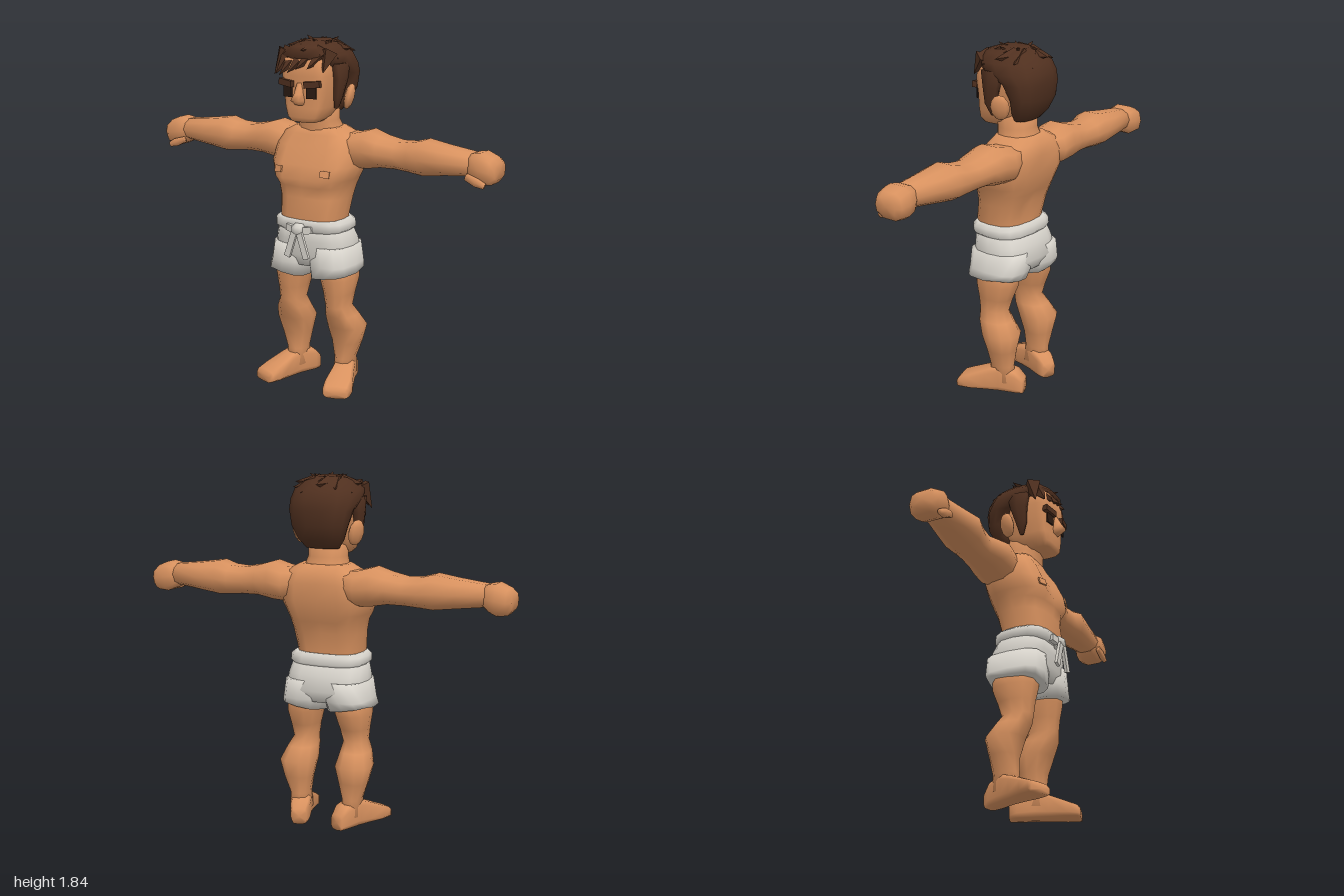
import * as THREE from 'three';

const mat = (name, color) => {
  const m = new THREE.MeshStandardMaterial({ color });
  m.name = name;
  return m;
};

// Closed loft of rounded-square rings. Each section is [t, c0, c1, s0, s1]:
// axis y: c = x range, s = z range; axis x: c = z, s = y; axis z: c = y, s = x
function loft(axis, sections, n = 12, e = 0.8) {
  const pos = [], idx = [];
  const put = (t, c, s) => pos.push(...(axis === 'y' ? [c, t, s] : axis === 'x' ? [t, s, c] : [s, c, t]));
  const pw = (v) => Math.sign(v) * Math.pow(Math.abs(v) < 1e-6 ? 0 : Math.abs(v), e);
  for (const [t, c0, c1, s0, s1] of sections)
    for (let j = 0; j < n; j++) {
      const a = (j / n) * Math.PI * 2;
      put(t, (c0 + c1) / 2 + ((c1 - c0) / 2) * pw(Math.cos(a)), (s0 + s1) / 2 + ((s1 - s0) / 2) * pw(Math.sin(a)));
    }
  const last = sections.length - 1;
  for (let i = 0; i < last; i++)
    for (let j = 0; j < n; j++) {
      const k = (j + 1) % n, a = i * n + j, b = i * n + k;
      idx.push(a, a + n, b, b, a + n, b + n);
    }
  for (const i of [0, last]) {
    const [t, c0, c1, s0, s1] = sections[i], m = pos.length / 3;
    put(t, (c0 + c1) / 2, (s0 + s1) / 2);
    for (let j = 0; j < n; j++) {
      const a = i * n + j, b = i * n + ((j + 1) % n);
      idx.push(...(i ? [a, m, b] : [a, b, m]));
    }
  }
  const g = new THREE.BufferGeometry();
  g.setAttribute('position', new THREE.Float32BufferAttribute(pos, 3));
  g.setIndex(idx);
  g.computeVertexNormals();
  return g;
}

// Move every vertex by a rule, then refresh the normals
function bend(g, rule) {
  const p = g.attributes.position, v = new THREE.Vector3();
  for (let i = 0; i < p.count; i++) {
    rule(v.fromBufferAttribute(p, i));
    p.setXYZ(i, v.x, v.y, v.z);
  }
  g.computeVertexNormals();
  return g;
}

const sym = (rows) => rows.map(([y, w, z0, z1]) => [y, -w, w, z0, z1]);

export function createModel() {
  const root = new THREE.Group();
  const skin = mat('skin', 0xd9925f), hair = mat('hair', 0x50301f);
  const cloth = mat('white cloth', 0xd8d4cc), dark = mat('dark eyes', 0x2a1a12);

  const add = (parent, name, g, m, p = [0, 0, 0], r = [0, 0, 0]) => {
    const mesh = new THREE.Mesh(g, m);
    mesh.name = name;
    mesh.position.set(...p);
    mesh.rotation.set(...r);
    parent.add(mesh);
    return mesh;
  };
  const box = (w, h, d) => new THREE.BoxGeometry(w, h, d);

  // Torso with a groove between the chest muscles
  const torso = loft('y', sym([
    [0.84, 0.17, -0.11, 0.14], [0.93, 0.175, -0.112, 0.16], [1.03, 0.188, -0.135, 0.142],
    [1.09, 0.2, -0.16, 0.15], [1.13, 0.218, -0.175, 0.174], [1.2, 0.245, -0.195, 0.155],
    [1.29, 0.235, -0.2, 0.112], [1.35, 0.2, -0.175, 0.07], [1.385, 0.13, -0.14, 0.055],
  ]), 16, 0.72);
  add(root, 'torso', bend(torso, (v) => {
    if (v.z > 0.05 && Math.abs(v.x) < 0.02 && v.y > 1.1 && v.y < 1.32) v.z -= 0.022;
    if (v.z < -0.1 && Math.abs(v.x) < 0.02 && v.y > 0.95 && v.y < 1.32) v.z += 0.02;
  }), skin);
  add(root, 'neck', loft('y', sym([
    [1.3, 0.15, -0.16, 0.06], [1.37, 0.115, -0.14, 0.062], [1.42, 0.098, -0.12, 0.07], [1.52, 0.095, -0.12, 0.08],
  ])), skin);

  // Head and face
  const head = new THREE.Group();
  head.name = 'head';
  root.add(head);
  add(head, 'skull', loft('y', sym([
    [1.425, 0.07, 0.03, 0.15], [1.45, 0.095, -0.02, 0.163], [1.5, 0.115, -0.09, 0.164],
    [1.58, 0.128, -0.13, 0.163], [1.66, 0.138, -0.15, 0.17], [1.74, 0.135, -0.14, 0.16], [1.78, 0.09, -0.1, 0.1],
  ]), 16, 0.5), skin);
  add(head, 'nose', loft('y', [
    [1.515, -0.024, 0.024, 0.13, 0.18], [1.54, -0.032, 0.032, 0.13, 0.22],
    [1.57, -0.022, 0.022, 0.13, 0.2], [1.625, -0.016, 0.016, 0.13, 0.172],
  ], 8), skin);
  for (const s of [1, -1]) {
    const side = s > 0 ? 'left' : 'right';
    add(head, side + 'Eye', box(0.052, 0.055, 0.008), dark, [s * 0.07, 1.578, 0.163], [0, s * 0.16, 0]);
    add(head, side + 'Brow', box(0.085, 0.032, 0.028), hair, [s * 0.077, 1.622, 0.165], [0, s * 0.2, s * 0.1]);
    const ear = add(head, side + 'Ear', new THREE.SphereGeometry(1, 8, 6), skin, [s * 0.163, 1.545, -0.045], [0, s * 0.45, s * -0.25]);
    ear.scale.set(0.026, 0.068, 0.05);
    add(head, side + 'Sideburn', loft('y', [
      [1.49, s * 0.13 - 0.012, s * 0.13 + 0.012, 0.015, 0.035], [1.55, s * 0.145 - 0.022, s * 0.145 + 0.022, 0, 0.06],
      [1.64, s * 0.152 - 0.03, s * 0.152 + 0.03, -0.03, 0.066], [1.72, s * 0.15 - 0.03, s * 0.15 + 0.03, -0.05, 0.08],
    ], 6), hair);
  }

  // Hair: rounded cap plus pointed locks
  add(head, 'hairCap', loft('y', sym([
    [1.465, 0.09, -0.13, -0.05], [1.51, 0.125, -0.17, -0.05], [1.58, 0.152, -0.203, -0.05],
    [1.66, 0.17, -0.213, 0.0], [1.71, 0.18, -0.212, 0.13], [1.76, 0.168, -0.19, 0.175],
    [1.8, 0.125, -0.145, 0.14], [1.825, 0.06, -0.1, 0.07],
  ]), 14, 0.85), hair);
  const up = new THREE.Vector3(0, 1, 0);
  const lock = (a, b, w) => {
    const from = new THREE.Vector3(...a), to = new THREE.Vector3(...b);
    const dir = to.clone().sub(from);
    const g = new THREE.ConeGeometry(w, dir.length(), 4).toNonIndexed();
    g.computeVertexNormals();
    const m = add(head, 'hairLock', g, hair);
    m.position.copy(from).addScaledVector(dir, 0.5);
    m.quaternion.setFromUnitVectors(up, dir.normalize());
  };
  for (const [x, tx, ty, tz] of [
    [-0.13, -0.175, 1.65, 0.13], [-0.09, -0.14, 1.66, 0.17], [-0.04, -0.1, 1.66, 0.2], [0.0, -0.045, 1.675, 0.21],
    [0.05, 0.0, 1.695, 0.205], [0.1, 0.06, 1.7, 0.19], [0.12, 0.13, 1.68, 0.15],
  ]) lock([x, 1.775, 0.09], [tx, ty, tz], 0.05);
  for (let i = 0; i < 12; i++) {
    const a = (i / 12) * Math.PI * 2, b = a + 0.45, lift = (i % 3) * 0.022;
    lock([0.07 * Math.cos(a), 1.79, -0.02 + 0.08 * Math.sin(a)],
      [0.185 * Math.cos(b), 1.745 + lift, -0.015 + 0.19 * Math.sin(b)], 0.042);
  }
  for (let i = 0; i < 6; i++) {
    const a = i * 1.05 + 0.3;
    lock([0.02 * Math.cos(a), 1.785, -0.03 + 0.02 * Math.sin(a)],
      [0.1 * Math.cos(a), 1.83 + (i % 2) * 0.008, -0.02 + 0.1 * Math.sin(a)], 0.035);
  }

  // Limbs, built for the left side and mirrored
  for (const s of [1, -1]) {
    const half = new THREE.Group();
    half.name = s > 0 ? 'leftLimbs' : 'rightLimbs';
    half.scale.x = s;
    root.add(half);

    add(half, 'arm', loft('x', [
      [0.08, -0.16, 0.0, 1.24, 1.36], [0.2, -0.19, 0.045, 1.18, 1.365], [0.28, -0.19, 0.05, 1.185, 1.387],
      [0.36, -0.178, 0.042, 1.2, 1.362], [0.45, -0.165, 0.022, 1.2, 1.345], [0.53, -0.165, 0.032, 1.194, 1.35],
      [0.6, -0.172, 0.05, 1.188, 1.37], [0.72, -0.155, 0.035, 1.203, 1.352], [0.88, -0.13, 0.015, 1.222, 1.333],
    ], 10), skin);
    add(half, 'fist', loft('x', [
      [0.84, -0.115, 0.005, 1.23, 1.325], [0.88, -0.138, 0.022, 1.2, 1.338], [0.92, -0.143, 0.028, 1.182, 1.345],
      [0.975, -0.14, 0.022, 1.188, 1.322], [1.0, -0.12, 0.005, 1.215, 1.3],
    ], 10, 0.65), skin);
    add(half, 'thumb', loft('x', [
      [-0.06, -0.015, 0.01, -0.018, 0.018], [0, -0.02, 0.016, -0.024, 0.024], [0.045, -0.015, 0.01, -0.015, 0.015],
    ], 6), skin, [0.915, 1.205, 0.022], [0, 0, -0.35]);
    add(half, 'nipple', box(0.05, 0.035, 0.008), skin, [0.14, 1.172, 0.151], [-0.25, 0.3, 0]);

    add(half, 'leg', loft('y', [
      [0.06, 0.095, 0.2, -0.12, 0.03], [0.15, 0.1, 0.2, -0.112, 0.02], [0.24, 0.08, 0.235, -0.125, 0.022],
      [0.33, 0.06, 0.258, -0.145, 0.05], [0.4, 0.073, 0.23, -0.1, 0.085], [0.45, 0.083, 0.203, -0.068, 0.093],
      [0.52, 0.07, 0.212, -0.09, 0.1], [0.6, 0.05, 0.225, -0.122, 0.115], [0.7, 0.04, 0.215, -0.13, 0.12],
    ], 10), skin);
    add(half, 'foot', loft('z', [
      [-0.18, 0, 0.085, -0.04, 0.04], [-0.14, 0, 0.125, -0.055, 0.052], [-0.05, 0, 0.15, -0.055, 0.055],
      [0.02, 0, 0.125, -0.062, 0.062], [0.11, 0, 0.085, -0.078, 0.075], [0.165, 0, 0.062, -0.076, 0.07],
      [0.18, 0, 0.045, -0.065, 0.06],
    ], 10, 0.5), skin, [0.17, 0, 0.01], [0, 0.35, 0]);

    // Shorts leg with the hem rising to the outside
    const hem = loft('y', [
      [0.6, 0.015, 0.244, -0.142, 0.152], [0.68, 0.004, 0.232, -0.162, 0.152], [0.78, 0, 0.216, -0.16, 0.148],
    ], 12, 0.65);
    add(half, 'shortsLeg', bend(hem, (v) => { if (v.y < 0.65) v.y += v.x * 0.16 + (v.z < 0 ? 0.015 : 0); }), cloth);
    // Hanging belt end and bow loop
    add(half, 'beltEnd', box(0.034, 0.14, 0.016), cloth, [0.037, 0.795, 0.192], [0, 0, 0.32]);
    add(half, 'bowLoop', box(0.06, 0.035, 0.025), cloth, [0.045, 0.875, 0.172], [0, 0.2, 0.12]);
  }

  // Shorts seat, belt and knot
  add(root, 'shortsSeat', loft('y', sym([
    [0.67, 0.19, -0.14, 0.125], [0.73, 0.222, -0.166, 0.15], [0.81, 0.212, -0.155, 0.152], [0.89, 0.188, -0.118, 0.152],
  ]), 16, 0.7), cloth);
  add(root, 'belt', loft('y', sym([
    [0.855, 0.19, -0.13, 0.15], [0.87, 0.208, -0.142, 0.168], [0.905, 0.206, -0.138, 0.17], [0.922, 0.185, -0.122, 0.16],
  ]), 16, 0.7), cloth);
  add(root, 'beltKnot', loft('y', [
    [0.845, -0.022, 0.022, 0.15, 0.195], [0.865, -0.034, 0.034, 0.15, 0.21],
    [0.89, -0.034, 0.034, 0.15, 0.208], [0.905, -0.024, 0.024, 0.15, 0.19],
  ], 8), cloth);
  return root;
}
